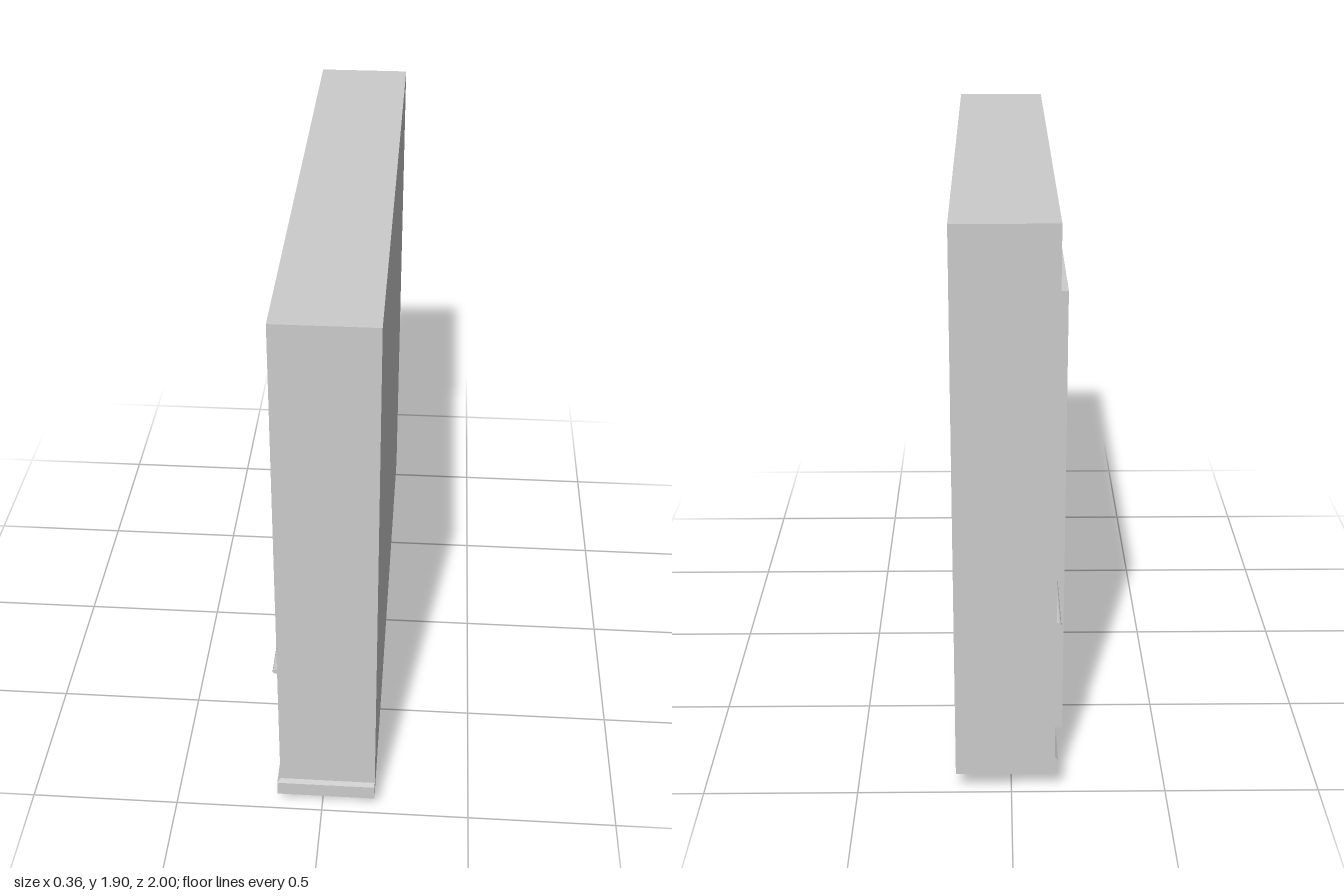
import * as THREE from 'three';

const BACK = -0.64, FRONT = 0.13;      // door frame extent along z
const FLOOR = 0.07, TOP = 1.9;         // wall extent along y
const FACE = -0.14;                    // door-side face of the wall

export function createModel() {
  const group = new THREE.Group();
  const mat = new THREE.MeshStandardMaterial({ color: 0xcccccc });

  function add(name, geo) {
    const mesh = new THREE.Mesh(geo, mat);
    mesh.name = name;
    group.add(mesh);
    return mesh;
  }
  function box(name, x0, x1, y0, y1, z0, z1) {
    const geo = new THREE.BoxGeometry(x1 - x0, y1 - y0, z1 - z0);
    geo.translate((x0 + x1) / 2, (y0 + y1) / 2, (z0 + z1) / 2);
    return add(name, geo);
  }
  const outline = (pts) => pts.map(([a, b]) => new THREE.Vector2(a, b));

  // Outline drawn in (z, y), extruded from x1 down to x0
  function slab(name, pts, x0, x1, hole) {
    const shape = new THREE.Shape(outline(pts));
    if (hole) shape.holes.push(new THREE.Path(outline(hole)));
    const geo = new THREE.ExtrudeGeometry(shape, { depth: x1 - x0, bevelEnabled: false });
    geo.rotateY(-Math.PI / 2).translate(x1, 0, 0);
    return add(name, geo);
  }

  // Wall: solid back layer and a front layer notched around the door
  box('wallBack', -0.02, 0.18, FLOOR, TOP, -1, 0.99);
  slab('wallFront', [
    [-1, FLOOR], [BACK, FLOOR], [BACK, 1.59], [FRONT, 1.59], [FRONT, FLOOR],
    [0.99, FLOOR], [0.99, TOP], [-1, TOP],
  ], FACE, -0.02);

  // Door frame with sill, and the recessed door leaf
  const rect = (a, b, c, d) => [[a, c], [b, c], [b, d], [a, d]];
  const t = 0.04;
  slab('doorFrame', rect(BACK, FRONT, 0, 1.59), -0.18, -0.02,
    rect(BACK + t, FRONT - t, t, 1.59 - t));
  box('door', -0.115, -0.03, t, 1.59 - t, BACK + t, FRONT - t);

  // Door handle: plate, spindle and lever
  box('handlePlate', -0.122, -0.115, 0.7, 0.8, 0.03, 0.06);
  const spindle = new THREE.CylinderGeometry(0.008, 0.008, 0.03, 16);
  spindle.rotateZ(Math.PI / 2).translate(-0.135, 0.765, 0.045);
  add('handleSpindle', spindle);
  const lever = new THREE.CapsuleGeometry(0.007, 0.035, 6, 12);
  lever.rotateX(Math.PI / 2).translate(-0.147, 0.765, 0.03);
  add('handleLever', lever);

  // Chamfered skirting, mitred where the two faces meet
  function skirting(length, mitreStart, mitreEnd) {
    const shape = new THREE.Shape(outline([[0, FLOOR], [0.01, FLOOR], [0.01, 0.122], [0, 0.135]]));
    const geo = new THREE.ExtrudeGeometry(shape, { depth: length, bevelEnabled: false });
    const p = geo.attributes.position;
    for (let i = 0; i < p.count; i++) {
      const u = p.getX(i), w = p.getZ(i);
      if (w < length / 2) p.setZ(i, w - u * mitreStart);
      else p.setZ(i, w + u * mitreEnd);
    }
    geo.computeVertexNormals();
    return geo;
  }
  add('skirtingEnd', skirting(0.32, 0, 1).rotateY(-Math.PI / 2).translate(0.18, 0, 0.99));
  add('skirtingFront', skirting(0.99 - FRONT, 1, 0).rotateY(Math.PI).translate(FACE, 0, 0.99));
  add('skirtingBack', skirting(BACK + 1, 0, 0).rotateY(Math.PI).translate(FACE, 0, BACK));

  // Half-round rail either side of the door
  for (const [name, z0, z1] of [['railBack', -1, BACK], ['railFront', FRONT, 0.99]]) {
    const geo = new THREE.CylinderGeometry(0.009, 0.009, z1 - z0, 16);
    geo.rotateX(Math.PI / 2).scale(1.6, 1, 1).translate(FACE, 0.62, (z0 + z1) / 2);
    add(name, geo);
  }

  // Rounded wall switch beside the door
  const button = new THREE.CylinderGeometry(0.022, 0.022, 0.035, 20);
  button.rotateX(Math.PI / 2).scale(0.9, 1, 1).translate(FACE, 0.878, 0.183);
  add('wallSwitch', button);

  return group;
}
